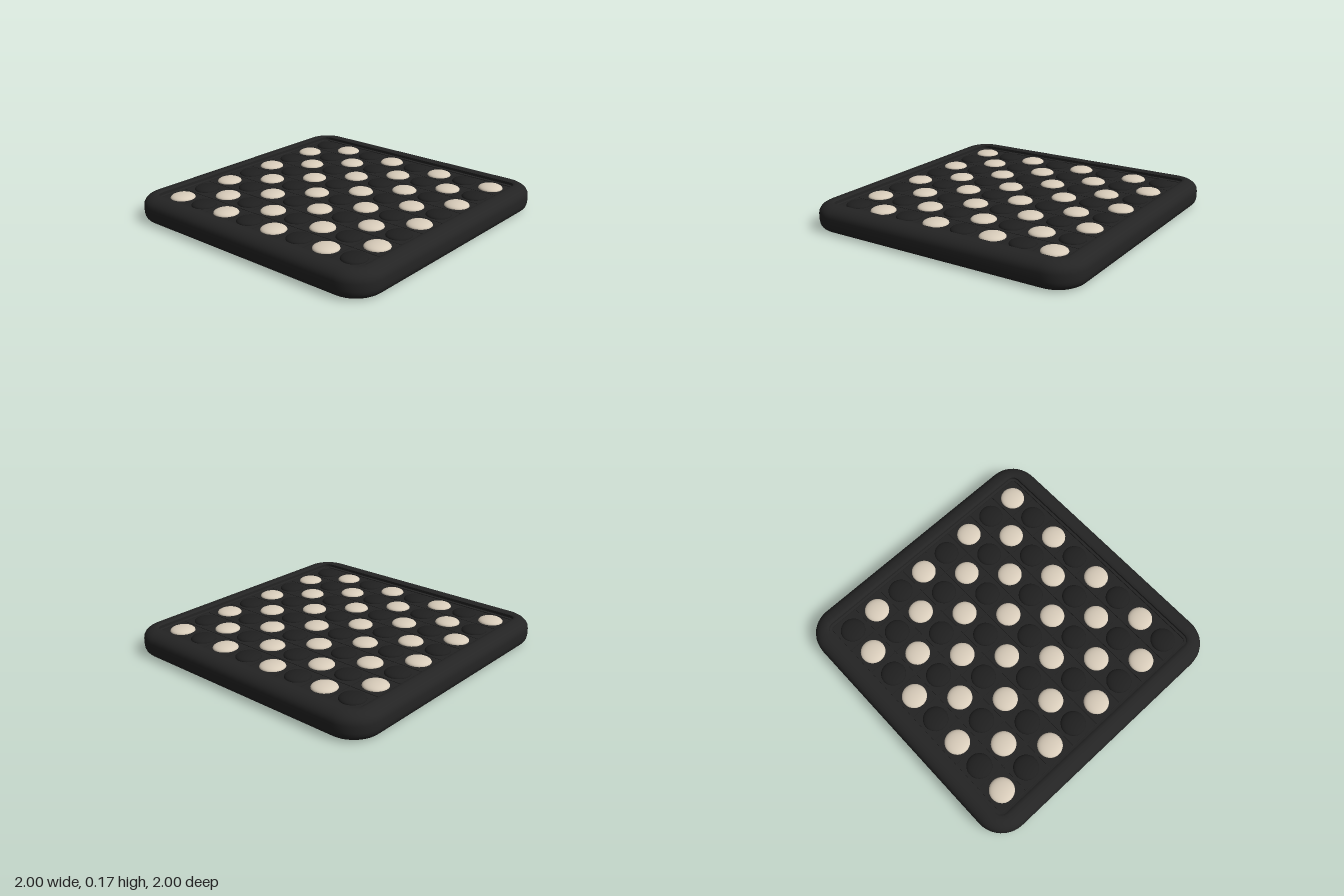
import * as THREE from 'three';
import { toCreasedNormals } from 'three/addons/utils/BufferGeometryUtils.js';

const caseBlack = new THREE.MeshStandardMaterial({ name: 'caseBlack', color: 0x242424 });
const tileBlack = new THREE.MeshStandardMaterial({ name: 'tileBlack', color: 0x232323 });
const domeBlack = new THREE.MeshStandardMaterial({ name: 'domeBlack', color: 0x1f1f1f });
const domeCream = new THREE.MeshStandardMaterial({ name: 'domeCream', color: 0xd9cdbb });

// Rounded-square outline as [x, z] points
function roundedLoop(half, radius, steps = 10) {
  const points = [];
  for (let corner = 0; corner < 4; corner++) {
    const mid = (corner + 0.5) * Math.PI / 2;
    const cx = Math.sign(Math.cos(mid)) * (half - radius);
    const cz = Math.sign(Math.sin(mid)) * (half - radius);
    for (let s = 0; s <= steps; s++) {
      const a = (corner + s / steps) * Math.PI / 2;
      points.push([cx + radius * Math.cos(a), cz + radius * Math.sin(a)]);
    }
  }
  return points;
}

// Skin rounded-square sections given as [half width, y, corner radius]
function loftSquares(sections) {
  const positions = [], index = [];
  let count = 0;
  for (const [half, y, radius] of sections) {
    const loop = roundedLoop(half, radius);
    count = loop.length;
    for (const [x, z] of loop) positions.push(x, y, z);
  }
  for (let i = 0; i < sections.length - 1; i++) {
    for (let j = 0; j < count; j++) {
      const k = (j + 1) % count;
      const a = i * count + j, b = (i + 1) * count + j;
      const c = (i + 1) * count + k, d = i * count + k;
      index.push(a, b, c, a, c, d);
    }
  }
  const geometry = new THREE.BufferGeometry();
  geometry.setAttribute('position', new THREE.Float32BufferAttribute(positions, 3));
  geometry.setIndex(index);
  return toCreasedNormals(geometry, 0.7);
}

function addMesh(parent, name, geometry, material, x = 0, y = 0, z = 0) {
  const mesh = new THREE.Mesh(geometry, material);
  mesh.name = name;
  mesh.position.set(x, y, z);
  parent.add(mesh);
  return mesh;
}

export function createModel() {
  const model = new THREE.Group();
  model.name = 'checkerBoard';

  // Case: soft outer shell, raised rim and sunken floor in one skin
  const sections = [[0, 0, 0], [0.95, 0, 0.15]];
  for (let i = 1; i <= 5; i++) {
    const a = i / 5 * Math.PI / 2;
    const inset = 0.05 * (1 - Math.sin(a));
    sections.push([1 - inset, 0.06 * (1 - Math.cos(a)), 0.2 - inset]);
  }
  for (let i = 0; i <= 6; i++) {
    const a = i / 6 * Math.PI / 2;
    const inset = 0.09 * (1 - Math.cos(a));
    sections.push([1 - inset, 0.105 + 0.07 * Math.sin(a), 0.2 - inset]);
  }
  sections.push([0.895, 0.175, 0.06], [0.883, 0.167, 0.05], [0.883, 0.148, 0.05],
    [0.866, 0.145, 0.03], [0.866, 0.134, 0.03], [0, 0.134, 0]);
  addMesh(model, 'case', loftSquares(sections), caseBlack);

  // Playing field: square tiles with a low dome on each, alternating in colour
  const pitch = 0.2157, top = 0.143;
  const tile = new THREE.BoxGeometry(pitch - 0.005, 0.02, pitch - 0.005);
  const dome = new THREE.SphereGeometry(0.085, 28, 8, 0, Math.PI * 2, 0, Math.PI / 2);
  dome.scale(1, 0.028 / 0.085, 1);
  const field = new THREE.Group();
  field.name = 'playingField';
  model.add(field);
  for (let row = 0; row < 8; row++) {
    for (let column = 0; column < 8; column++) {
      const x = (column - 3.5) * pitch, z = (row - 3.5) * pitch;
      const light = (row + column) % 2 === 0;
      addMesh(field, 'tile', tile, tileBlack, x, top - 0.01, z);
      addMesh(field, light ? 'lightDome' : 'darkDome', dome, light ? domeCream : domeBlack, x, top, z);
    }
  }
  return model;
}
